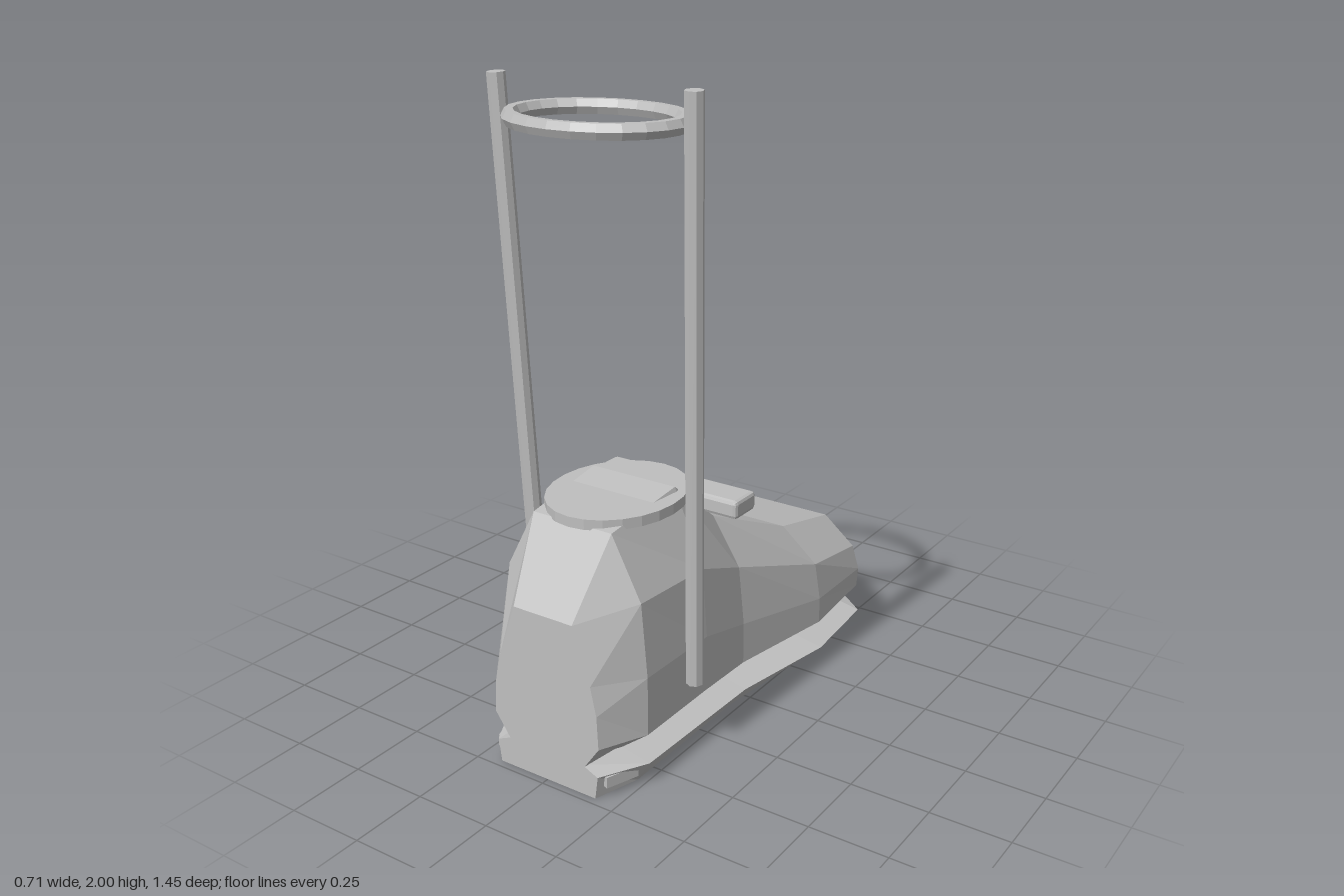
import * as THREE from 'three';
import { RoundedBoxGeometry } from 'three/addons/geometries/RoundedBoxGeometry.js';

const grey = new THREE.MeshStandardMaterial({ color: 0xbfbfbf, flatShading: true });
grey.name = 'plain grey';

function add(group, name, geometry) {
  const mesh = new THREE.Mesh(geometry, grey);
  mesh.name = name;
  group.add(mesh);
  return mesh;
}

// Mirrored closed cross-sections [z, [x, y] ...], listed from back to front,
// each half running from the bottom up.
function loft(sections) {
  const pos = [], idx = [];
  const n = (sections[0].length - 1) * 2;
  for (const [z, ...half] of sections) {
    for (const [x, y] of half) pos.push(x, y, z);
    for (const [x, y] of [...half].reverse()) pos.push(-x, y, z);
  }
  const last = (sections.length - 1) * n;
  for (let o = 0; o < last; o += n) {
    for (let j = 0; j < n; j++) {
      const a = o + j, b = o + (j + 1) % n;
      idx.push(a, b, b + n, a, b + n, a + n);
    }
  }
  for (let j = 1; j < n - 1; j++) {
    idx.push(0, j + 1, j);
    idx.push(last, last + j, last + j + 1);
  }
  const g = new THREE.BufferGeometry();
  g.setAttribute('position', new THREE.Float32BufferAttribute(pos, 3));
  g.setIndex(idx);
  const flat = g.toNonIndexed();
  flat.computeVertexNormals();
  return flat;
}

// Round bar between two points
function bar(group, name, from, to, radius) {
  const dir = to.clone().sub(from);
  const mesh = add(group, name, new THREE.CylinderGeometry(radius, radius, dir.length(), 8));
  mesh.position.copy(from).add(to).multiplyScalar(0.5);
  mesh.quaternion.setFromUnitVectors(new THREE.Vector3(0, 1, 0), dir.normalize());
}

export function createModel() {
  const model = new THREE.Group();
  model.name = 'boot';

  // Faceted upper, toe at the back and heel at the front
  add(model, 'upper', loft([
    [-0.725, [0.10, 0.08], [0.155, 0.165], [0.165, 0.21], [0.155, 0.27], [0.125, 0.33]],
    [-0.61, [0.19, 0.08], [0.305, 0.165], [0.31, 0.23], [0.285, 0.31], [0.175, 0.40]],
    [-0.30, [0.21, 0.08], [0.33, 0.165], [0.33, 0.25], [0.31, 0.37], [0.185, 0.475]],
    [0.07, [0.16, 0.08], [0.265, 0.165], [0.265, 0.30], [0.245, 0.49], [0.15, 0.64]],
    [0.28, [0.15, 0.08], [0.26, 0.165], [0.265, 0.35], [0.25, 0.57], [0.15, 0.81]],
    [0.58, [0.15, 0.08], [0.26, 0.165], [0.26, 0.35], [0.24, 0.58], [0.14, 0.77]],
    [0.725, [0.13, 0.08], [0.19, 0.165], [0.185, 0.27], [0.165, 0.36], [0.105, 0.535]],
  ]));

  // Sole with a flared lip: [z, bottom width, lip width, top width]
  add(model, 'sole', loft([
    [-0.725, 0.15, 0.17, 0.10],
    [-0.61, 0.25, 0.315, 0.19],
    [-0.30, 0.26, 0.34, 0.21],
    [0.07, 0.22, 0.275, 0.16],
    [0.58, 0.22, 0.265, 0.15],
    [0.725, 0.175, 0.185, 0.13],
  ].map(([z, bottom, lip, top]) => [z, [bottom, 0], [lip, 0.072], [top, 0.096]])));

  // Oval collar closing the ankle
  const collar = add(model, 'collar', new THREE.CylinderGeometry(0.2, 0.2, 0.032, 24));
  collar.scale.z = 1.2;
  collar.position.set(0, 0.78, 0.36);

  // Strap across the instep
  const strap = add(model, 'strap', new RoundedBoxGeometry(0.53, 0.06, 0.114, 1, 0.012));
  strap.position.set(0, 0.7, 0.066);

  // Poles and heel clips, mirrored
  for (const [side, s] of [['left', 1], ['right', -1]]) {
    bar(model, side + 'Pole', new THREE.Vector3(s * 0.287, 0.25, 0.378),
      new THREE.Vector3(s * 0.33, 2, 0.45), 0.027);
    const clip = add(model, side + 'HeelClip', new THREE.BoxGeometry(0.02, 0.035, 0.11));
    clip.position.set(s * 0.212, 0.05, 0.65);
    clip.rotation.y = s * -0.35;
  }

  // Oval hoop between the pole tops
  const hoop = add(model, 'hoop', new THREE.TorusGeometry(0.258, 0.025, 6, 24).rotateX(Math.PI / 2));
  hoop.scale.z = 0.775;
  hoop.position.set(0, 1.897, 0.427);

  return model;
}
